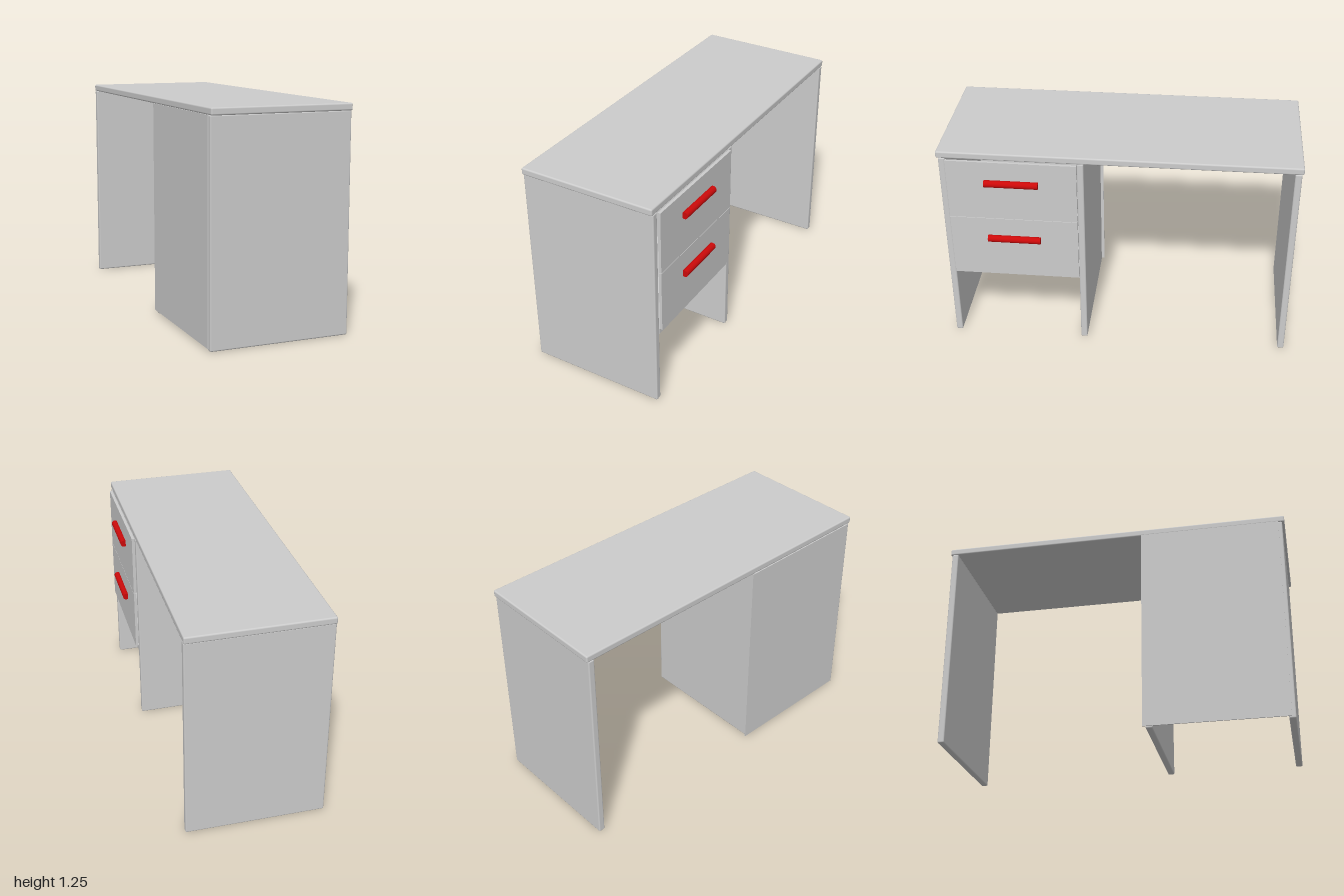
import * as THREE from 'three';
import { RoundedBoxGeometry } from 'three/addons/geometries/RoundedBoxGeometry.js';

const grey = new THREE.MeshStandardMaterial({ color: 0xcccccc });
const red = new THREE.MeshStandardMaterial({ color: 0xcc0a0a });

// Board given by its [min, max] extent on each axis, with softened edges if r > 0
function board(name, [x0, x1], [y0, y1], [z0, z1], r = 0) {
  const size = [x1 - x0, y1 - y0, z1 - z0];
  const geometry = r > 0 ? new RoundedBoxGeometry(...size, 2, r) : new THREE.BoxGeometry(...size);
  const mesh = new THREE.Mesh(geometry, grey);
  mesh.name = name;
  mesh.position.set((x0 + x1) / 2, (y0 + y1) / 2, (z0 + z1) / 2);
  return mesh;
}

export function createModel() {
  const desk = new THREE.Group();
  desk.name = 'desk';
  const depth = [-0.42, 0.375];

  // Worktop
  desk.add(board('worktop', depth, [1.205, 1.245], [-1, 1], 0.009));

  // Upright panels: outer cabinet side, inner cabinet side, far leg
  const uprights = { cabinetOuterSide: 0.968, cabinetInnerSide: 0.204, legPanel: -0.971 };
  for (const [name, z] of Object.entries(uprights)) {
    desk.add(board(name, depth, [0, 1.207], [z - 0.019, z + 0.019], 0.008));
  }

  // Thin cabinet back and the shelf under the drawers
  desk.add(board('cabinetBack', [-0.425, -0.419], [0.012, 1.207], [0.168, 0.965]));
  desk.add(board('cabinetShelf', [-0.419, 0.374], [0.44, 0.475], [0.222, 0.95]));

  // Two drawers, each a front with a round bar handle
  for (const [label, y] of [['upper', 1.02], ['lower', 0.655]]) {
    const drawer = new THREE.Group();
    drawer.name = label + 'Drawer';
    drawer.add(board('drawerFront', [0.375, 0.391], [y - 0.181, y + 0.181], [0.223, 0.947]));
    const handle = new THREE.Mesh(new THREE.CylinderGeometry(0.02, 0.02, 0.3, 32), red);
    handle.name = 'drawerHandle';
    handle.rotation.x = Math.PI / 2;
    handle.position.set(0.402, y + 0.053, 0.585);
    drawer.add(handle);
    desk.add(drawer);
  }
  return desk;
}
